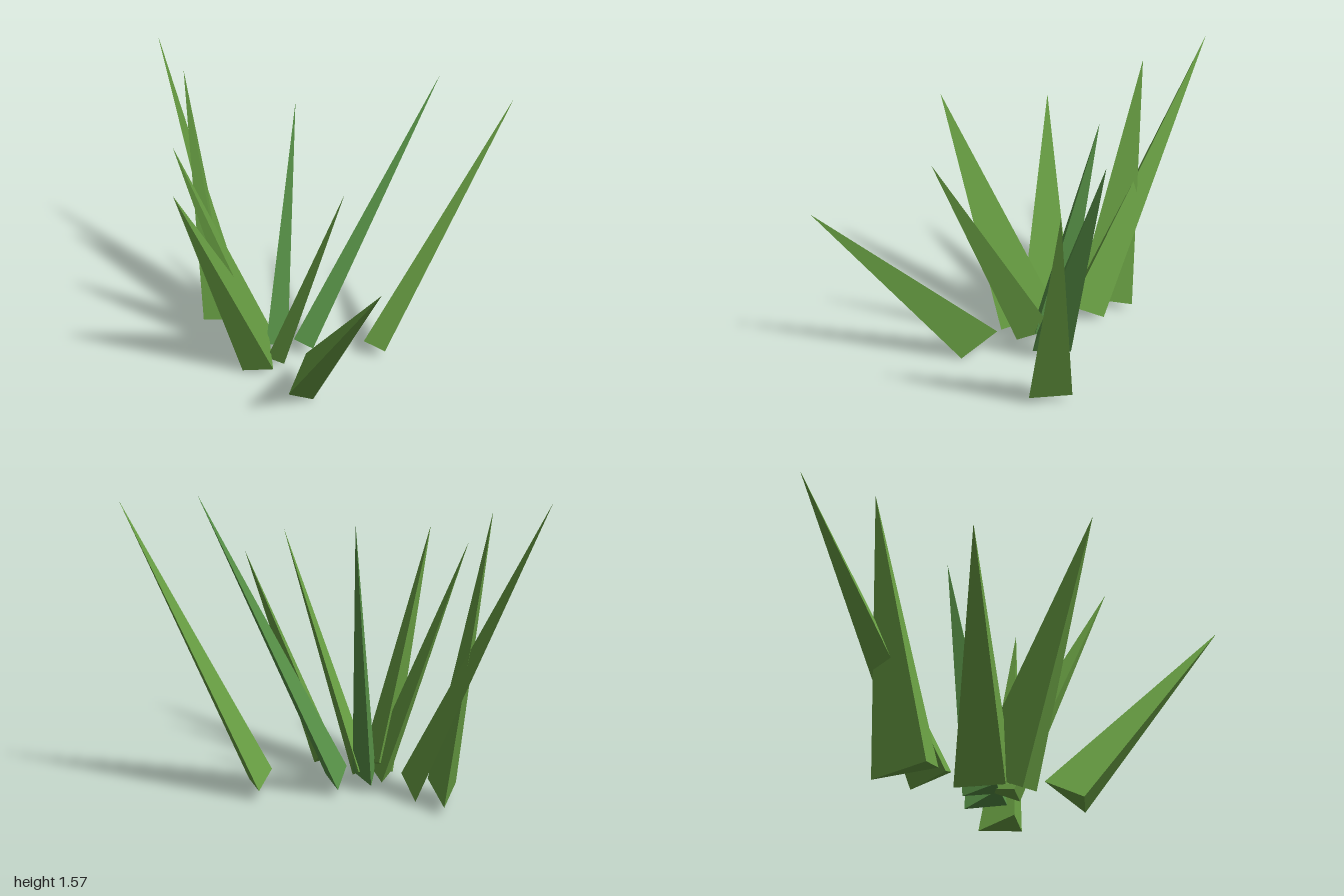
import * as THREE from 'three';

// One blade: a three-sided spike whose triangular foot is square to its axis.
// foot = centre of the base, keel = horizontal [x, z] run of the base depth.
function bladeGeometry(foot, tip, keel, width) {
  const f = new THREE.Vector3(...foot);
  const t = new THREE.Vector3(...tip);
  const axis = t.clone().sub(f);
  const k = new THREE.Vector3(keel[0], -(keel[0] * axis.x + keel[1] * axis.z) / axis.y, keel[1]);
  const side = axis.clone().cross(k).setLength(width / 2);
  const a = f.clone().addScaledVector(k, 2 / 3);
  const rear = f.clone().addScaledVector(k, -1 / 3);
  const b = rear.clone().add(side);
  const c = rear.clone().sub(side);
  const geometry = new THREE.BufferGeometry().setFromPoints([
    t, a, b, t, b, c, t, c, a, // sides
    a, c, b, // underside
  ]);
  geometry.computeVertexNormals();
  return geometry;
}

export function createModel() {
  const group = new THREE.Group();
  group.name = 'grassTuft';

  const leafGreen = new THREE.MeshStandardMaterial({ color: 0x6aa144 });
  leafGreen.name = 'leafGreen';
  const coolGreen = new THREE.MeshStandardMaterial({ color: 0x599448 });
  coolGreen.name = 'coolGreen';

  // name, material, foot, tip, keel, width
  const blades = [
    ['backRightBlade', leafGreen, [-0.445, 0.076, -0.352], [-1, 1.57, -0.92], [0, -0.192], 0.125],
    ['innerBackRightBlade', leafGreen, [-0.586, 0.073, -0.42], [-0.78, 1.5, -0.6], [0.019, -0.315], 0.146],
    ['rightBlade', leafGreen, [-0.288, 0.07, -0.127], [-0.73, 1.28, -0.09], [0.005, -0.29], 0.128],
    ['frontRightBlade', leafGreen, [-0.277, 0.073, -0.032], [-0.59, 1.3, 0.48], [0.003, -0.297], 0.18],
    ['uprightBlade', coolGreen, [-0.212, 0.071, -0.174], [-0.14, 1.42, -0.44], [-0.03, -0.175], 0.122],
    ['innerFrontBlade', leafGreen, [-0.186, 0.06, -0.088], [0.22, 1.3, 0.35], [0.023, -0.198], 0.1],
    ['backLeftBlade', coolGreen, [-0.057, 0.073, -0.205], [0.61, 1.575, -0.55], [-0.005, -0.202], 0.12],
    ['frontLeftBlade', leafGreen, [-0.008, 0.072, 0.202], [0.46, 1.1, 0.91], [-0.002, -0.205], 0.136],
    ['leftBlade', leafGreen, [0.34, 0.075, -0.253], [1, 1.53, -0.4], [0, -0.22], 0.132],
  ];

  for (const [name, material, foot, tip, keel, width] of blades) {
    const blade = new THREE.Mesh(bladeGeometry(foot, tip, keel, width), material);
    blade.name = name;
    group.add(blade);
  }
  return group;
}
